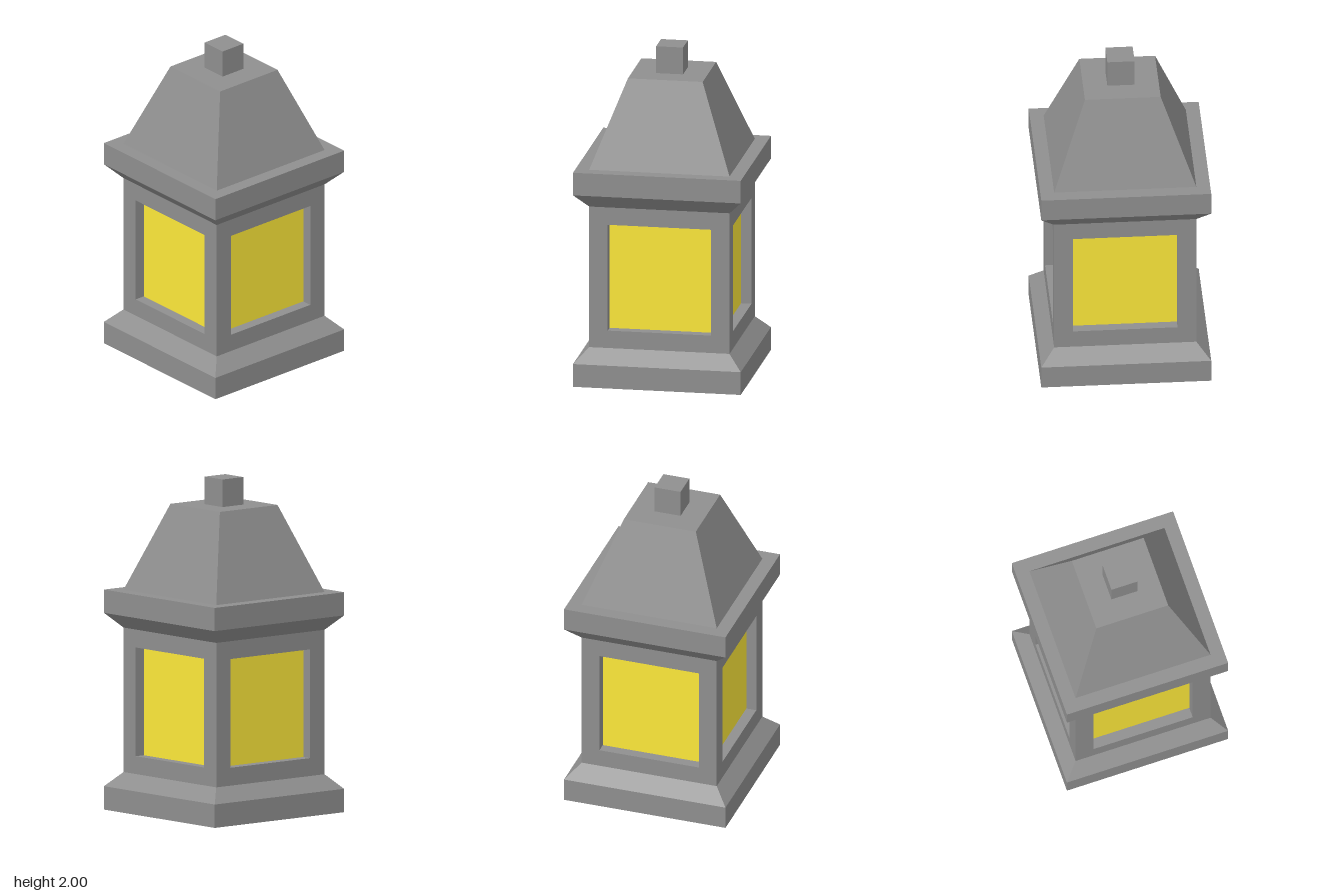
import * as THREE from 'three';

const BODY = 0.4225;   // half width of the body
const EAVE = 0.505;    // half width of plinth and cornice
const WALL = 0.063;    // wall thickness = window recess
const Y0 = 0.226, Y1 = 1.091;          // wall bottom and top
const SILL = 0.333, HEAD = 0.984;      // window bottom and top
const WIN = 0.311;                     // half width of a window

const stone = new THREE.MeshStandardMaterial({ color: 0x8f8f8f, flatShading: true });
const glow = new THREE.MeshStandardMaterial({ color: 0xfce83a });

// Square block tapering from half width a at y0 to half width b at y1
function taper(name, a, b, y0, y1) {
  const geo = new THREE.CylinderGeometry(b * Math.SQRT2, a * Math.SQRT2, y1 - y0, 4);
  geo.rotateY(Math.PI / 4);
  geo.translate(0, (y0 + y1) / 2, 0);
  const mesh = new THREE.Mesh(geo, stone);
  mesh.name = name;
  return mesh;
}

// One wall with a window opening; it stops short at one end to butt against its neighbour
function wallGeometry() {
  const rect = (Type, x0, x1, y0, y1) => new Type([
    new THREE.Vector2(x0, y0), new THREE.Vector2(x1, y0),
    new THREE.Vector2(x1, y1), new THREE.Vector2(x0, y1),
  ]);
  const shape = rect(THREE.Shape, -BODY, BODY - WALL, Y0, Y1);
  shape.holes.push(rect(THREE.Path, -WIN, WIN, SILL, HEAD));
  const geo = new THREE.ExtrudeGeometry(shape, { depth: WALL, bevelEnabled: false });
  return geo.translate(0, 0, BODY - WALL);
}

export function createModel() {
  const lantern = new THREE.Group();
  lantern.name = 'lantern';

  // Stacked square blocks
  lantern.add(
    taper('plinth', EAVE, EAVE, 0, 0.14),
    taper('plinthSlope', EAVE, BODY, 0.14, Y0),
    taper('corniceSlope', BODY, EAVE, Y1, 1.178),
    taper('cornice', EAVE, EAVE, 1.178, 1.317),
    taper('roof', BODY, 0.225, 1.317, 1.835),
    taper('finial', 0.081, 0.081, 1.835, 2),
  );

  // Four walls with recessed glowing panes
  const wallGeo = wallGeometry();
  const paneGeo = new THREE.PlaneGeometry(2 * WIN, HEAD - SILL);
  paneGeo.translate(0, (SILL + HEAD) / 2, BODY - WALL);
  for (let i = 0; i < 4; i++) {
    const side = new THREE.Group();
    side.name = 'side' + (i + 1);
    const wall = new THREE.Mesh(wallGeo, stone);
    wall.name = 'wall';
    const pane = new THREE.Mesh(paneGeo, glow);
    pane.name = 'windowPane';
    side.add(wall, pane);
    side.rotation.y = i * Math.PI / 2;
    lantern.add(side);
  }

  // The lantern stands slightly turned
  lantern.rotation.y = -0.0395;
  const model = new THREE.Group();
  model.name = 'model';
  model.add(lantern);
  return model;
}
